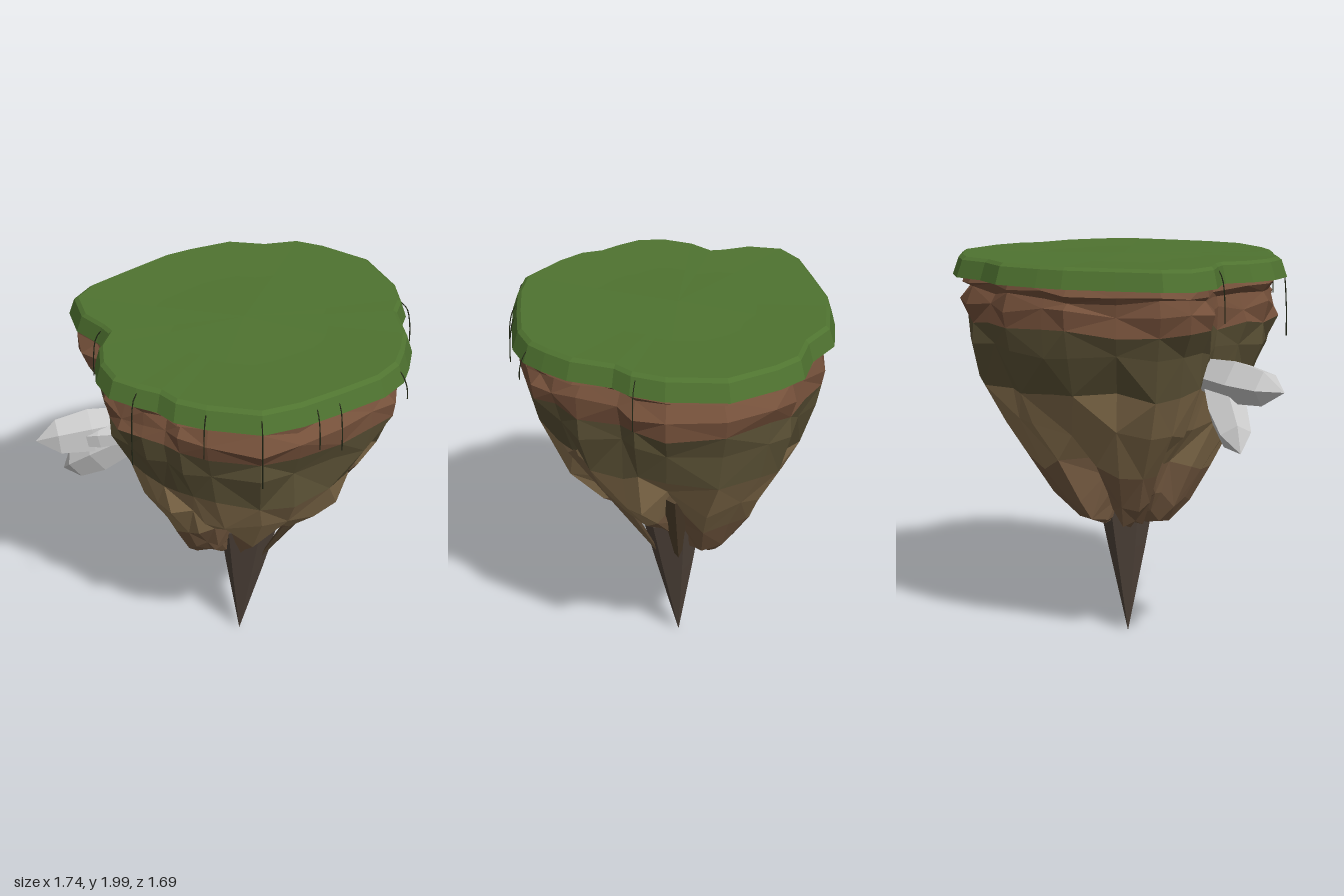
import * as THREE from 'three';

// Rim of the island as x, z pairs, from the back round by +x
const RIM = [
  [-0.02, -0.845], [0.13, -0.845], [0.39, -0.79], [0.60, -0.59], [0.68, -0.44], [0.69, -0.33],
  [0.80, -0.14], [0.83, 0.01], [0.84, 0.13], [0.795, 0.275], [0.67, 0.45], [0.53, 0.63],
  [0.385, 0.76], [0.13, 0.81], [-0.02, 0.81], [-0.12, 0.765], [-0.24, 0.76], [-0.37, 0.74],
  [-0.48, 0.645], [-0.55, 0.51], [-0.565, 0.37], [-0.625, 0.33], [-0.76, 0.27], [-0.87, 0.13],
  [-0.85, -0.01], [-0.745, -0.21], [-0.62, -0.44], [-0.53, -0.545], [-0.36, -0.705], [-0.17, -0.75],
];

let seed = 7;
const rand = () => {
  seed = (seed * 16807) % 2147483647;
  return seed / 2147483647;
};
const jitter = (amount) => (rand() * 2 - 1) * amount;

function addMesh(parent, name, geometry, color) {
  const material = new THREE.MeshStandardMaterial({ color, flatShading: true });
  const mesh = new THREE.Mesh(geometry, material);
  mesh.name = name;
  parent.add(mesh);
  return mesh;
}

// Skin between closed rings of points, listed from the top down
function loft(rings) {
  const points = [];
  for (let i = 0; i < rings.length - 1; i++) {
    const n = rings[i].length;
    for (let j = 0; j < n; j++) {
      const k = (j + 1) % n;
      const [p, q, r, s] = [rings[i][j], rings[i][k], rings[i + 1][j], rings[i + 1][k]];
      if ((i + j) % 2) points.push(p, q, r, q, s, r);
      else points.push(p, q, s, p, s, r);
    }
  }
  const geometry = new THREE.BufferGeometry().setFromPoints(points);
  geometry.computeVertexNormals();
  return geometry;
}

const rimRing = (scale, y) => RIM.map(([x, z]) => new THREE.Vector3(x * scale, y, z * scale));

// Clefts in the lower rock: direction, depth, width, height where they begin
const CLEFTS = [
  [0.1, 0.45, 0.2, 1.55], [-0.8, 0.45, 0.2, 1.4], [0.85, 0.4, 0.2, 1.25], [1.45, 0.4, 0.18, 1.25],
  [-2.35, 0.45, 0.2, 1.3], [2.75, 0.3, 0.2, 1.3], [0.1, 0.35, 0.8, 1.05],
];

// One row of rock; the clefts also lift its lower edge
function rockRing([y, scale, rough, shift]) {
  const low = THREE.MathUtils.clamp((1 - y) / 0.3, 0, 1);
  return RIM.map(([x, z]) => {
    const angle = Math.atan2(z, x);
    let keep = 1;
    for (const [dir, cut, width, start] of CLEFTS) {
      const depth = THREE.MathUtils.clamp((start - y) / 0.4, 0, 1);
      keep *= 1 - cut * depth * Math.exp(-(((angle - dir) / width) ** 2));
    }
    const s = scale * keep * (1 + jitter(rough));
    const lift = (1 - keep) * 0.28 * low;
    return new THREE.Vector3(x * s + shift, y + lift + jitter(rough * 0.6), z * s);
  });
}

// Pointed prism from a root to a tip; profile holds [radius, share of length]
function spike(root, tip, profile, sides, turn = 0) {
  const from = new THREE.Vector3(...root);
  const axis = new THREE.Vector3(...tip).sub(from);
  const length = axis.length();
  const points = profile.map(([r, t]) => new THREE.Vector2(r, t * length));
  const geometry = new THREE.LatheGeometry(points, sides, turn);
  const spin = new THREE.Quaternion().setFromUnitVectors(new THREE.Vector3(0, 1, 0), axis.normalize());
  return geometry.applyQuaternion(spin).translate(from.x, from.y, from.z);
}

export function createModel() {
  seed = 7;
  const island = new THREE.Group();
  island.name = 'floatingIsland';

  // Grass cap with a bevelled rim
  addMesh(island, 'grassCap', loft([
    rimRing(0, 2), rimRing(0.5, 1.995), rimRing(0.94, 2), rimRing(0.965, 1.985), rimRing(1, 1.9),
  ]), 0x4f7330);
  addMesh(island, 'capUnderside', loft([rimRing(1, 1.9), rimRing(0.86, 1.905)]), 0x3a2c1c);

  // Rock rows: height, scale of the rim, roughness, sideways shift
  const rings = [
    [1.92, 0.90, 0, 0], [1.87, 0.94, 0.025, 0], [1.84, 0.90, 0.03, 0], [1.78, 0.95, 0.035, 0],
    [1.69, 0.93, 0.035, 0], [1.58, 0.89, 0.04, 0], [1.38, 0.82, 0.05, 0.01], [1.17, 0.73, 0.06, 0.03],
    [0.96, 0.56, 0.07, 0], [0.77, 0.41, 0.07, -0.03], [0.67, 0.29, 0.05, -0.04],
    [0.62, 0.15, 0.02, -0.04], [0.66, 0, 0, -0.02],
  ].map(rockRing);
  const rock = new THREE.Group();
  rock.name = 'rock';
  island.add(rock);
  const bands = [
    ['soilLayer', 0, 4, 0x74503a], ['mossyLayer', 4, 6, 0x5c5236],
    ['middleRock', 6, 8, 0x8a724f], ['lowerRock', 8, 12, 0x755a41],
  ];
  for (const [name, start, end, color] of bands) {
    addMesh(rock, name, loft(rings.slice(start, end + 1)), color);
  }

  // Stone spikes hanging from the underside
  const spikes = new THREE.Group();
  spikes.name = 'stoneSpikes';
  island.add(spikes);
  const hanging = (r) => [[0, 0], [r, 0], [r * 0.62, 0.4], [0, 1]];
  const spikeRows = [
    ['mainSpike', [0.03, 0.79, 0.02], [-0.02, 0.01, 0.02], 0.16, 6, 0x4f433a],
    ['tallSpike', [0.57, 1.38, 0.12], [0.06, 0.49, 0.03], 0.065, 5, 0x54432f],
    ['backSpike', [0.26, 1.15, -0.26], [0, 0.42, -0.01], 0.08, 5, 0x54432f],
  ];
  for (const [name, root, tip, radius, sides, color] of spikeRows) {
    addMesh(spikes, name, spike(root, tip, hanging(radius), sides, 0.3), color);
  }

  // Crystals growing out of the notch
  const crystals = new THREE.Group();
  crystals.name = 'crystals';
  island.add(crystals);
  const facets = (r) => [[0, 0], [r * 0.7, 0], [r, 0.5], [r * 0.8, 0.8], [0, 1]];
  const crystalRows = [
    [[-0.42, 1.46, 0.26], [-0.87, 1.42, 0.57], 0.11],
    [[-0.40, 1.45, 0.36], [-0.84, 1.13, 0.37], 0.1],
    [[-0.42, 1.48, 0.42], [-0.72, 1.42, 0.48], 0.06],
  ];
  crystalRows.forEach(([root, tip, r], i) => {
    addMesh(crystals, 'crystal' + (i + 1), spike(root, tip, facets(r), 5, i * 0.4), 0xcccccc);
  });

  // Thin roots drooping over the rim: x, z, lowest height
  const roots = new THREE.Group();
  roots.name = 'hangingRoots';
  island.add(roots);
  const rootRows = [
    [0.67, -0.46, 1.74], [0.83, 0.13, 1.82], [0.64, 0.465, 1.71], [0.57, 0.56, 1.76],
    [0.38, 0.755, 1.63], [0.13, 0.805, 1.76], [-0.235, 0.755, 1.59], [-0.62, 0.33, 1.72],
  ];
  for (const [x, z, low] of rootRows) {
    const at = (s, y) => new THREE.Vector3(x * s, y, z * s);
    const path = new THREE.CatmullRomCurve3([
      at(0.97, 1.97), at(1.01, 1.93), at(1.035, (1.93 + low) / 2), at(1.04, low),
    ]);
    addMesh(roots, 'hangingRoot', new THREE.TubeGeometry(path, 8, 0.003, 4), 0x1f2414);
  }
  return island;
}
